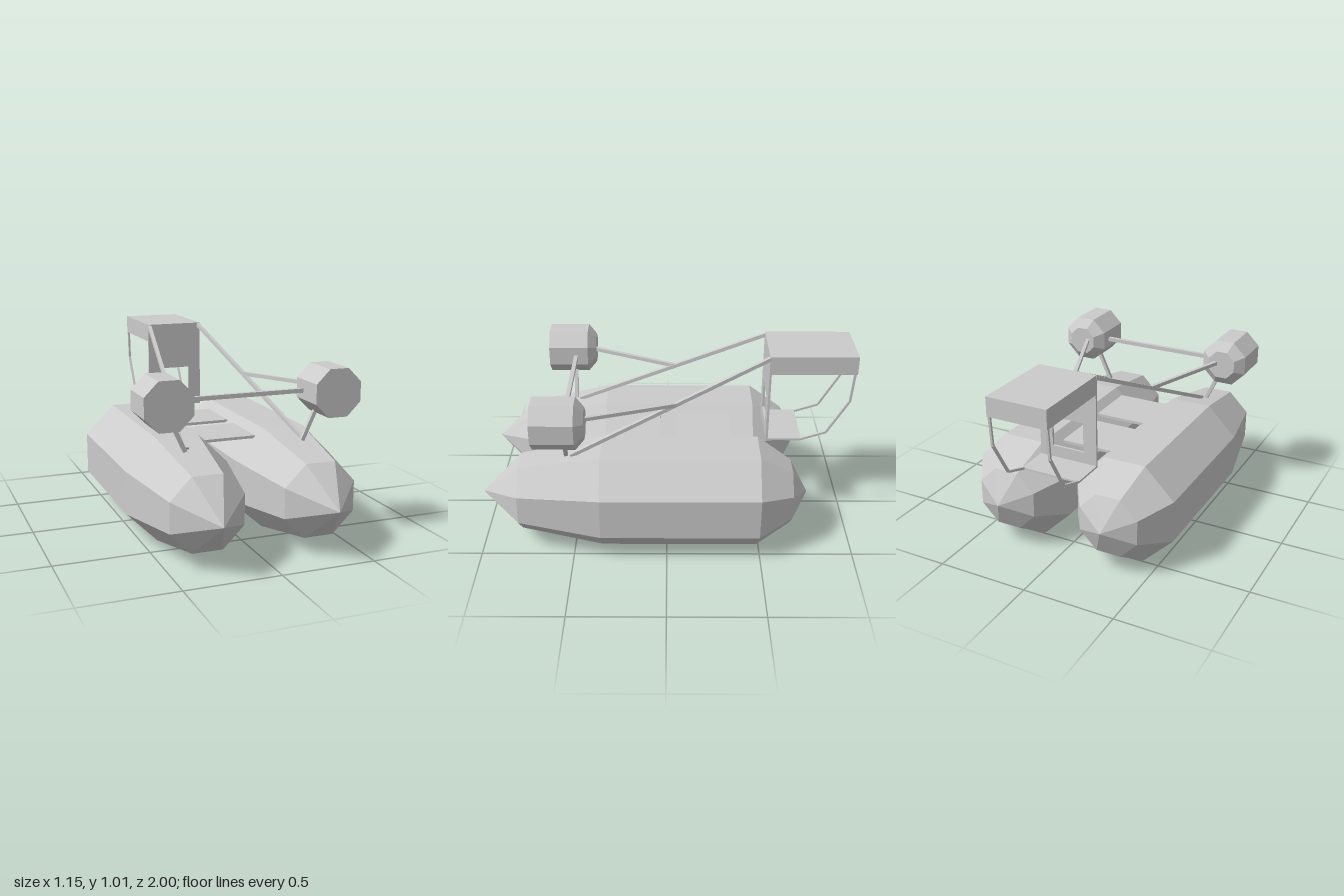
import * as THREE from 'three';

const material = new THREE.MeshStandardMaterial({ color: 0xcccccc, flatShading: true });

function add(parent, name, geometry, x = 0, y = 0, z = 0) {
  const mesh = new THREE.Mesh(geometry, material);
  mesh.name = name;
  mesh.position.set(x, y, z);
  parent.add(mesh);
  return mesh;
}

// Box given by its limits on each axis
function slab(parent, name, [x0, x1], [y0, y1], [z0, z1]) {
  return add(parent, name, new THREE.BoxGeometry(x1 - x0, y1 - y0, z1 - z0),
    (x0 + x1) / 2, (y0 + y1) / 2, (z0 + z1) / 2);
}

// Square bar between two points
function bar(parent, name, from, to, size = 0.02) {
  const a = new THREE.Vector3(...from), b = new THREE.Vector3(...to);
  const mesh = add(parent, name, new THREE.BoxGeometry(size, size, a.distanceTo(b)));
  mesh.position.copy(a).add(b).multiplyScalar(0.5);
  mesh.lookAt(b);
  return mesh;
}

// Eight-sided body along z; profile pairs are [flat-to-centre distance, z], back to front
function octagonBody(profile) {
  const points = profile.map(([r, z]) => new THREE.Vector2(r / Math.cos(Math.PI / 8), z));
  return new THREE.LatheGeometry(points, 8, Math.PI / 8).rotateX(Math.PI / 2);
}

export function createModel() {
  const model = new THREE.Group();
  model.name = 'pontoonCraft';

  // Floats and engines
  const pontoon = octagonBody([[0, -0.76], [0.162, -0.67], [0.276, -0.49], [0.276, 0.35], [0.192, 0.79], [0, 1]]);
  const engine = octagonBody([[0, 0.415], [0.076, 0.415], [0.125, 0.46], [0.125, 0.68], [0, 0.68]]);
  for (const [side, s] of [['left', 1], ['right', -1]]) {
    add(model, side + 'Pontoon', pontoon, s * 0.299, 0.277, 0);
    add(model, side + 'Engine', engine, s * 0.449, 0.787, 0);
    // Engine leg down to the pontoon
    bar(model, side + 'EngineLeg', [s * 0.4, 0.69, 0.535], [s * 0.322, 0.52, 0.535]);
    // Long stay from the cabin roof to the bow, and the brace from engine to stay
    const top = [s > 0 ? 0.146 : -0.162, 1.0, -0.54];
    const foot = [s > 0 ? 0.337 : -0.303, 0.525, 0.51];
    bar(model, side + 'LongStay', top, foot, 0.02);
    const joint = top.map((v, i) => v + (foot[i] - v) * 0.47);
    bar(model, side + 'EngineBrace', [s * 0.42, 0.793, 0.43], joint);
  }
  bar(model, 'engineCrossbar', [-0.335, 0.782, 0.527], [0.335, 0.782, 0.527], 0.022);

  // Planks joining the pontoons
  slab(model, 'rearPlank', [-0.147, 0.143], [0.5, 0.515], [-0.35, -0.05]);
  slab(model, 'frontPlank', [-0.147, 0.143], [0.5, 0.515], [0.04, 0.34]);

  // Cabin: front panel with a window
  const cabin = new THREE.Group();
  cabin.name = 'cabin';
  model.add(cabin);
  const x0 = -0.17, x1 = 0.156, t = 0.012;
  const rect = (Type, l, r, b, u) => new Type([[l, b], [r, b], [r, u], [l, u]].map(p => new THREE.Vector2(...p)));
  const panel = rect(THREE.Shape, x0, x1, 0.513, 1.01);
  panel.holes.push(rect(THREE.Path, -0.096, 0.083, 0.585, 0.746));
  add(cabin, 'frontPanel', new THREE.ExtrudeGeometry(panel, { depth: t, bevelEnabled: false }), 0, 0, -0.549);

  // Roof, hollow below
  slab(cabin, 'roofTop', [x0, x1], [1.0, 1.013], [-1, -0.537]);
  slab(cabin, 'roofBack', [x0, x1], [0.912, 1.0], [-1, -1 + t]);
  slab(cabin, 'roofRightSide', [x0, x0 + t], [0.912, 1.0], [-1 + t, -0.549]);
  slab(cabin, 'roofLeftSide', [x1 - t, x1], [0.912, 1.0], [-1 + t, -0.549]);

  // Floor and the bent rear frames
  slab(cabin, 'floor', [x0, x1], [0.513, 0.523], [-0.73, -0.549]);
  const bend = [[0.518, -0.725], [0.563, -0.862], [0.755, -0.975], [0.92, -0.988]];
  for (const x of [x0 + t / 2, x1 - t / 2]) {
    for (let i = 0; i < bend.length - 1; i++) {
      bar(cabin, 'rearFrame', [x, ...bend[i]], [x, ...bend[i + 1]], t);
    }
  }
  return model;
}
